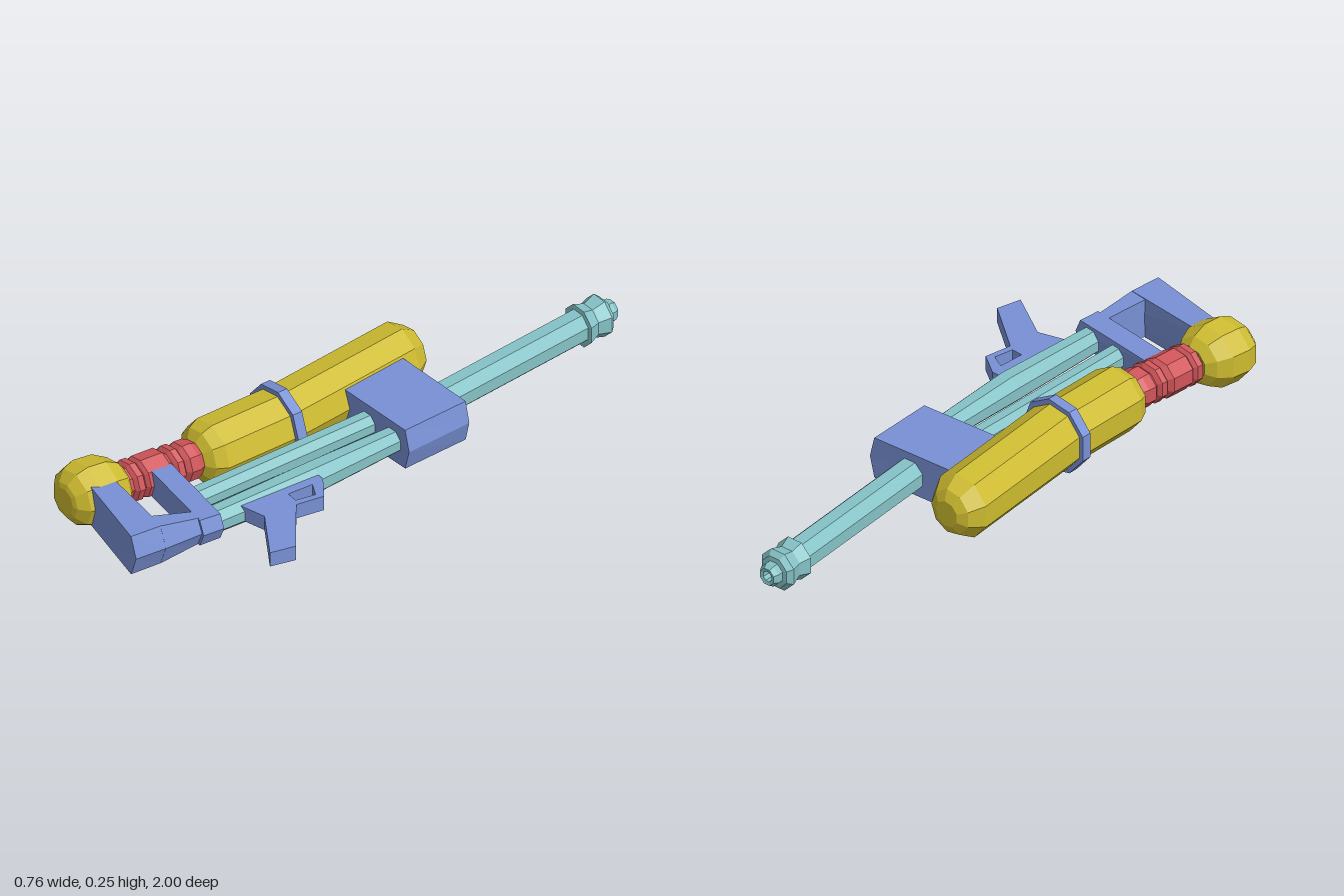
import * as THREE from 'three';

const material = (color) =>
  new THREE.MeshStandardMaterial({ color, flatShading: true });

// Skin a list of closed rings (counter-clockwise seen from +z, ordered back to front), with flat end caps.
function loft(rings) {
  const pos = [];
  const tri = (a, b, c) => pos.push(...a, ...b, ...c);
  const n = rings[0].length;
  const first = rings[0], last = rings[rings.length - 1];
  for (let j = 0; j < n; j++) {
    const k = (j + 1) % n;
    for (let i = 0; i < rings.length - 1; i++) {
      const p = rings[i], q = rings[i + 1];
      tri(p[j], p[k], q[k]);
      tri(p[j], q[k], q[j]);
    }
    if (j > 0 && j < n - 1) {
      tri(last[0], last[j], last[j + 1]);
      tri(first[0], first[j + 1], first[j]);
    }
  }
  const g = new THREE.BufferGeometry();
  g.setAttribute('position', new THREE.Float32BufferAttribute(pos, 3));
  g.computeVertexNormals();
  return g;
}

// Faceted round body along z; rows are [z, centre x, radius].
function round(rows, y, sides, phase = 0) {
  return loft(rows.map(([z, x, r]) =>
    Array.from({ length: sides }, (_, j) => {
      const a = phase + (j / sides) * Math.PI * 2;
      return [x + Math.cos(a) * r, y + Math.sin(a) * r, z];
    })));
}

// Slab with a ridged outer side; rows are [xLeft, zLeft, xEdge, zEdge, xRidge, half height].
function ridged(rows, y) {
  return loft(rows.map(([xl, zl, xe, ze, xr, h]) => [
    [xr, y, ze], [xe, y + h, ze], [xl, y + h, zl], [xl, y - h, zl], [xe, y - h, ze],
  ]));
}

export function createModel() {
  const group = new THREE.Group();
  const yellow = material(0xcdbb30), blue = material(0x7890d4);
  const teal = material(0x85c2c6), red = material(0xd0555a);
  const add = (name, geometry, mat) => {
    const mesh = new THREE.Mesh(geometry, mat);
    mesh.name = name;
    group.add(mesh);
  };
  const mid = 0.127, eighth = Math.PI / 8;

  // Large tank, slightly bent at the clamp
  add('tank', round([
    [-0.38, -0.275, 0.045], [-0.362, -0.275, 0.078], [-0.31, -0.273, 0.11],
    [0.2, -0.22, 0.11], [0.47, -0.22, 0.11], [0.505, -0.222, 0.092], [0.525, -0.223, 0.06],
  ], mid, 9), yellow);
  add('tankClamp', round([[0.18, -0.22, 0.127], [0.215, -0.22, 0.127]], mid, 9), blue);

  // Ribbed coupling between the tank and the rear bulb
  add('coupling', round([
    [0.51, -0.222, 0.05], [0.53, -0.224, 0.062], [0.545, -0.225, 0.068], [0.575, -0.227, 0.068],
    [0.59, -0.228, 0.055], [0.6, -0.229, 0.07], [0.62, -0.231, 0.07], [0.63, -0.233, 0.057],
    [0.645, -0.237, 0.07], [0.725, -0.243, 0.07], [0.735, -0.245, 0.058], [0.745, -0.246, 0.07],
    [0.765, -0.248, 0.07], [0.775, -0.249, 0.057], [0.8, -0.252, 0.057],
  ], mid, 9), red);
  add('rearBulb', round([
    [0.777, -0.258, 0.055], [0.8, -0.262, 0.085], [0.845, -0.268, 0.108], [0.91, -0.276, 0.11],
    [0.95, -0.279, 0.095], [0.978, -0.281, 0.062], [0.983, -0.281, 0.045],
  ], mid, 9), yellow);

  // Barrel with hollow, flared muzzle
  add('barrel', round([
    [-0.95, -0.083, 0.018], [-0.997, -0.086, 0.018], [-1, -0.086, 0.03], [-0.985, -0.085, 0.039],
    [-0.965, -0.084, 0.039], [-0.963, -0.084, 0.055], [-0.945, -0.083, 0.071], [-0.9, -0.08, 0.057],
    [-0.86, -0.077, 0.072], [-0.858, -0.077, 0.056], [-0.2, -0.014, 0.056],
  ], 0.11, 8, eighth), teal);

  // Twin tubes behind the barrel block
  add('innerTube', round([[-0.05, -0.05, 0.04], [0.69, -0.05, 0.04]], 0.12, 8, eighth), teal);
  add('outerTube', round([
    [-0.05, 0.068, 0.042], [0.3, 0.079, 0.053], [0.7, 0.071, 0.044],
  ], 0.12, 8, eighth), teal);

  // Block joining barrel, tubes and tank
  add('barrelBlock', ridged([
    [-0.24, -0.255, 0.12, -0.27, 0.138, 0.072],
    [-0.21, -0.01, 0.13, -0.027, 0.15, 0.072],
  ], 0.117), blue);

  // Rear stock: two arms and a tapering strut
  add('stockFrontArm', ridged([
    [-0.21, 0.635, 0.118, 0.682, 0.137, 0.045],
    [-0.21, 0.71, 0.11, 0.756, 0.13, 0.047],
  ], mid), blue);
  add('stockStrut', ridged([
    [0.06, 0.74, 0.1, 0.74, 0.12, 0.046],
    [0.02, 0.89, 0.086, 0.89, 0.113, 0.07],
  ], mid), blue);
  add('stockRearArm', ridged([
    [-0.25, 0.845, 0.086, 0.885, 0.113, 0.07],
    [-0.25, 0.925, 0.076, 0.997, 0.102, 0.071],
  ], mid), blue);

  // Grip and trigger guard, one plate with a finger hole
  const points = (list) => list.map(([x, z]) => new THREE.Vector2(x, z));
  const plate = new THREE.Shape(points([
    [0.1, 0.3], [0.14, 0.3], [0.217, 0.355], [0.2, 0.45],
    [0.376, 0.587], [0.355, 0.672], [0.19, 0.566], [0.1, 0.59],
  ]));
  plate.holes.push(new THREE.Path(points([
    [0.145, 0.345], [0.14, 0.435], [0.18, 0.438], [0.193, 0.37],
  ])));
  const grip = new THREE.ExtrudeGeometry(plate, { depth: 0.052, bevelEnabled: false });
  grip.rotateX(Math.PI / 2).translate(0, 0.153, 0);
  add('gripAndTriggerGuard', grip, blue);

  return group;
}
